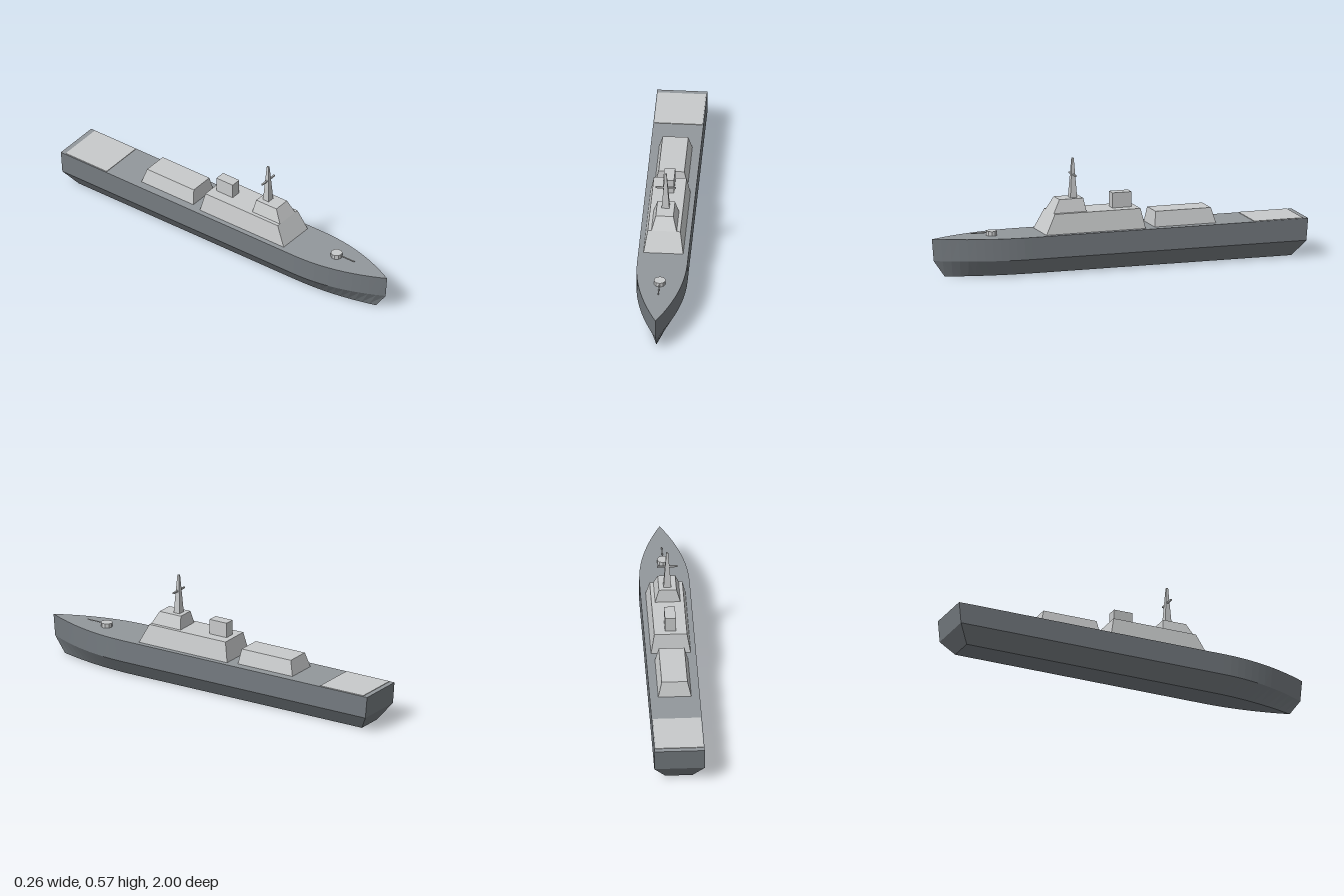
import * as THREE from 'three';

const mat = (name, color) => {
  const m = new THREE.MeshStandardMaterial({ color, flatShading: true });
  m.name = name;
  return m;
};

// Plan outline at one height: straight sides running into a pointed bow
function outline(y, halfWidth, stern, bow) {
  const steps = 12;
  const half = [[halfWidth, stern]];
  for (let i = 0; i < steps; i++) {
    const t = i / steps;
    half.push([halfWidth * (1 - t * t), bow * (0.5 + 0.5 * t)]);
  }
  const right = half.map(([x, z]) => [-x, y, z]);
  const left = half.map(([x, z]) => [x, y, z]).reverse();
  return [...right, [0, y, bow], ...left];
}

function fromTriangles(points) {
  const g = new THREE.BufferGeometry();
  g.setAttribute('position', new THREE.Float32BufferAttribute(points.flat(), 3));
  g.computeVertexNormals();
  return g;
}

// Flat fan over a convex outline
function cap(ring, up) {
  const tris = [];
  for (let i = 1; i < ring.length - 1; i++) {
    if (up) tris.push(ring[0], ring[i], ring[i + 1]);
    else tris.push(ring[0], ring[i + 1], ring[i]);
  }
  return tris;
}

// Walls joining successive outlines
function walls(rings) {
  const tris = [];
  for (let r = 0; r < rings.length - 1; r++) {
    const lo = rings[r], hi = rings[r + 1];
    for (let i = 0; i < lo.length; i++) {
      const j = (i + 1) % lo.length;
      tris.push(lo[i], lo[j], hi[j], lo[i], hi[j], hi[i]);
    }
  }
  return tris;
}

// Sloped block; each end is [halfWidth, back z, front z]
function slopedBlock(y0, y1, base, top) {
  const g = new THREE.BoxGeometry(2, 2, 2);
  const p = g.attributes.position;
  for (let i = 0; i < p.count; i++) {
    const isTop = p.getY(i) > 0;
    const [w, back, front] = isTop ? top : base;
    p.setXYZ(i, p.getX(i) * w, isTop ? y1 : y0, p.getZ(i) > 0 ? front : back);
  }
  g.computeVertexNormals();
  return g;
}

export function createModel() {
  const ship = new THREE.Group();
  ship.name = 'ship';
  const hullGrey = mat('hull grey', 0x747a7f);
  const deckGrey = mat('deck grey', 0x92979b);
  const lightGrey = mat('light grey', 0xc8cacb);

  const add = (name, geometry, material, parent = ship) => {
    const m = new THREE.Mesh(geometry, material);
    m.name = name;
    parent.add(m);
    return m;
  };

  // Hull and deck
  const keel = outline(0, 0.07, -0.93, 0.93);
  const chine = outline(0.085, 0.13, -0.99, 0.99);
  const rail = outline(0.2, 0.129, -1, 1);
  add('hull', fromTriangles([...walls([keel, chine, rail]), ...cap(keel, false)]), hullGrey);
  add('deck', fromTriangles(cap(rail, true)), deckGrey);

  // Landing pad at the stern
  const pad = [0.124, -0.973, -0.71];
  add('landingPad', slopedBlock(0.2, 0.203, pad, pad), lightGrey);

  // Superstructure
  add('hangar', slopedBlock(0.2, 0.278, [0.085, -0.515, -0.182], [0.066, -0.493, -0.193]), lightGrey);
  add('mainHouse', slopedBlock(0.2, 0.303, [0.102, -0.127, 0.412], [0.084, -0.105, 0.36]), lightGrey);
  add('bridge', slopedBlock(0.303, 0.37, [0.065, 0.182, 0.36], [0.045, 0.193, 0.322]), lightGrey);
  const funnel = [0.028, -0.076, 0.028];
  add('funnel', slopedBlock(0.303, 0.382, funnel, funnel), lightGrey);

  // Mast with crossbar
  add('mast', slopedBlock(0.37, 0.575, [0.02, 0.217, 0.253], [0.005, 0.23, 0.24]), lightGrey);
  const bar = [0.052, 0.231, 0.239];
  add('mastCrossbar', slopedBlock(0.485, 0.493, bar, bar), lightGrey);

  // Gun on the foredeck
  const gun = new THREE.Group();
  gun.name = 'gun';
  gun.position.set(0, 0.2, 0.675);
  ship.add(gun);
  add('gunTurret', new THREE.CylinderGeometry(0.03, 0.03, 0.023, 10), lightGrey, gun).position.y = 0.0115;
  const barrel = add('gunBarrel', new THREE.CylinderGeometry(0.003, 0.003, 0.1, 8), lightGrey, gun);
  barrel.rotation.x = Math.PI / 2;
  barrel.position.set(0, 0.015, 0.065);

  return ship;
}
